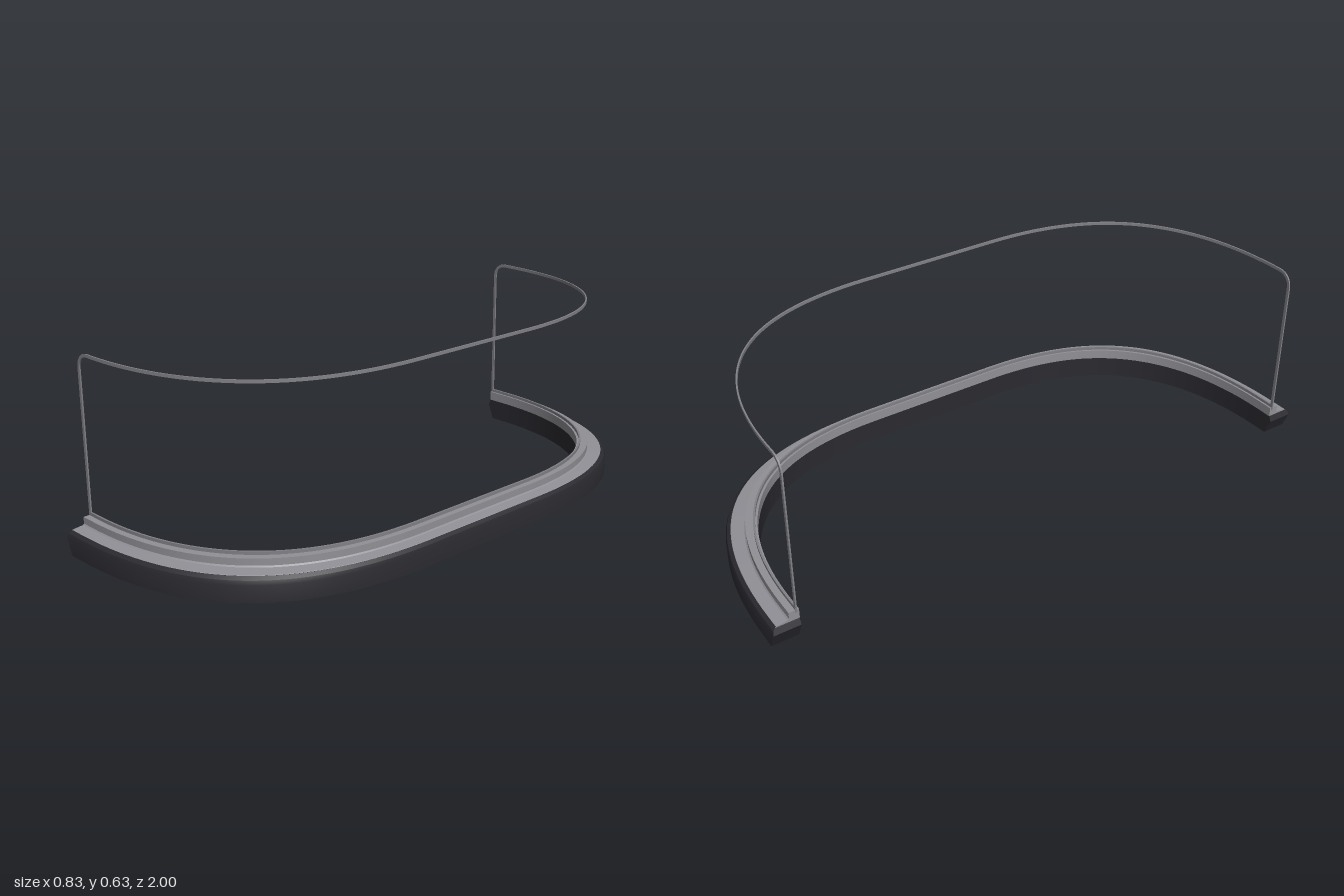
import * as THREE from 'three';
import { toCreasedNormals } from 'three/addons/utils/BufferGeometryUtils.js';

const V = (x, y, z) => new THREE.Vector3(x, y, z);

// Plan curve of the outer edge, from the left (+z) end round to the -z end.
// Every station has its outward normal and a width factor w: the rail is
// widest in the corners and slimmest along the middle.
function planPath() {
  const curve = new THREE.CubicBezierCurve3(
    V(-0.36, 0, 1), V(0.12, 0, 1), V(0.416, 0, 0.82), V(0.416, 0, 0.25));
  const half = [{ p: V(-0.42, 0, 1), n: V(0, 0, 1), w: 1 }];
  for (let i = 0; i <= 36; i++) {
    const s = i / 36, t = curve.getTangent(s);
    const w = 1 - 0.07 * s + 0.22 * Math.sin(Math.PI * s) ** 2;
    half.push({ p: curve.getPoint(s), n: V(-t.z, 0, t.x).normalize(), w });
  }
  const flip = (v) => V(v.x, v.y, -v.z);
  const other = half.map(({ p, n, w }) => ({ p: flip(p), n: flip(n), w })).reverse();
  return [...half, ...other];
}

// Skin a row of equal cross-section rings and cap both ends in strips.
function loft(rings) {
  const m = rings[0].length, pos = [];
  const tri = (a, b, c) => pos.push(...a.toArray(), ...b.toArray(), ...c.toArray());
  const quad = (a, b, c, d) => { tri(a, b, c); tri(a, c, d); };
  for (let i = 0; i < rings.length - 1; i++) {
    for (let j = 0; j < m; j++) {
      const k = (j + 1) % m;
      quad(rings[i][j], rings[i + 1][j], rings[i + 1][k], rings[i][k]);
    }
  }
  const first = rings[0], last = rings[rings.length - 1];
  for (let j = 0; j < m / 2 - 1; j++) {
    const q = [j, j + 1, m - 2 - j, m - 1 - j];
    quad(...q.map((k) => first[k]));
    quad(...q.reverse().map((k) => last[k]));
  }
  const g = new THREE.BufferGeometry();
  g.setAttribute('position', new THREE.Float32BufferAttribute(pos, 3));
  return toCreasedNormals(g, 0.45);
}

// Sweep a profile given as an outer side [inset, y]; the inner side is vertical.
function sweepRail(path, outer, inset, endX) {
  const profile = [...outer, ...outer.map(([, y]) => [inset, y]).reverse()];
  return loft(path.map(({ p, n, w }, i) => profile.map(([d, y]) => {
    const v = p.clone().addScaledVector(n, -d * w).setY(y);
    if (i === 0 || i === path.length - 1) v.x = endX(y);
    return v;
  })));
}

// Sweep a thin flat strip along stations that carry a position and a normal.
function sweepStrip(stations, thickness, width) {
  return loft(stations.map(({ p, n }, i) => {
    const a = stations[Math.max(i - 1, 0)].p;
    const b = stations[Math.min(i + 1, stations.length - 1)].p;
    const u = n.clone().cross(b.clone().sub(a)).normalize();
    return [[1, -1], [1, 1], [-1, 1], [-1, -1]].map(([s, t]) => p.clone()
      .addScaledVector(n, s * thickness / 2).addScaledVector(u, t * width / 2));
  }));
}

export function createModel() {
  const group = new THREE.Group();
  const path = planPath();
  const add = (name, geometry, color) => {
    const mesh = new THREE.Mesh(geometry, new THREE.MeshStandardMaterial({ color }));
    mesh.name = name;
    group.add(mesh);
  };

  // Heavy base rail with a rounded shoulder and wedge-shaped ends
  const wedge = (y) => (y < 0.05
    ? THREE.MathUtils.mapLinear(y, 0, 0.05, -0.393, -0.418)
    : THREE.MathUtils.mapLinear(y, 0.05, 0.078, -0.418, -0.405));
  add('baseRail', sweepRail(path,
    [[0, 0], [0, 0.055], [0.004, 0.068], [0.014, 0.077]], 0.088, wedge), 0x2a2a30);

  // Stepped trim on top of the rail
  add('trim', sweepRail(path,
    [[0.012, 0.075], [0.016, 0.078], [0.052, 0.082], [0.056, 0.086], [0.056, 0.108]],
    0.089, () => -0.407), 0x909096);

  // Line of the panel frame, set in from the outer edge
  const inset = 0.08;
  const line = (y) => path.map(({ p, n, w }) => ({
    p: p.clone().addScaledVector(n, -inset * w).setY(y), n }));

  // Lower frame strip
  const lower = line(0.113);
  lower[0].p.x = lower[lower.length - 1].p.x = -0.408;
  add('lowerFrame', sweepStrip(lower, 0.006, 0.011), 0x808086);

  // Upper frame: post, rounded corner, top strip, corner, post
  const r = 0.044, top = 0.625;
  const side = (s) => {
    const at = (x, y) => ({ p: V(x, y, s * (1 - inset)), n: V(0, 0, s) });
    const list = [at(-0.404, 0.1), at(-0.404, 0.4)];
    for (let i = 0; i < 4; i++) {
      const a = (i / 4) * Math.PI / 2;
      list.push(at(-0.36 - r * Math.cos(a), top - r + r * Math.sin(a)));
    }
    return list;
  };
  add('upperFrame', sweepStrip(
    [...side(1), ...line(top).slice(1, -1), ...side(-1).reverse()], 0.005, 0.01), 0x808086);

  return group;
}
